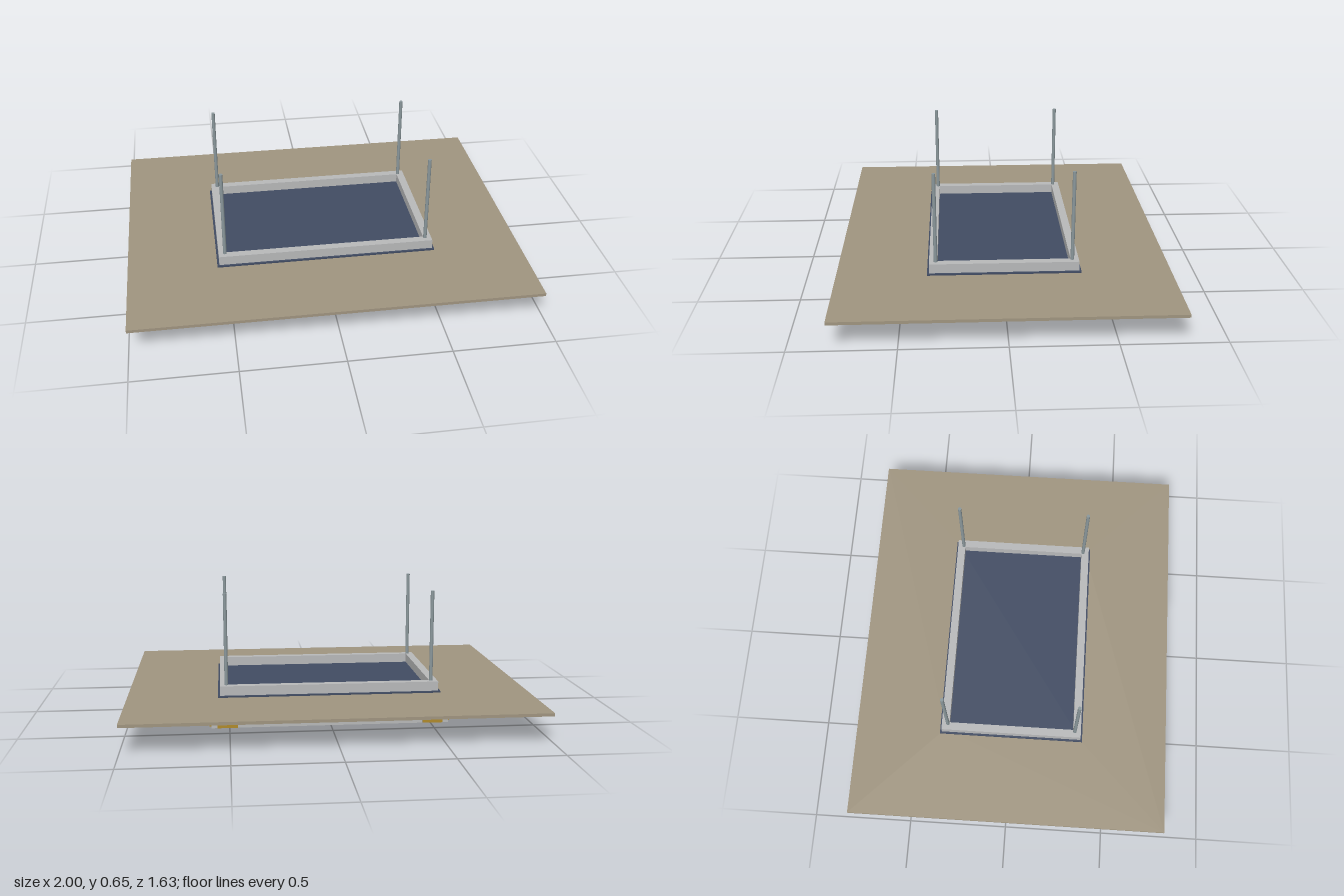
import * as THREE from 'three';

const mat = (color) => new THREE.MeshStandardMaterial({ color });
const SIDES = [-1, 1];

export function createModel() {
  const model = new THREE.Group();
  const board = mat(0xa09580);
  const grey = mat(0xb8b9ba);
  const greyBand = mat(0x9a9da6);
  const gold = mat(0xb08a28);
  const blue = mat(0x414c63);
  const steel = mat(0x8a979b);

  const add = (name, geometry, material, x = 0, y = 0, z = 0) => {
    const mesh = new THREE.Mesh(geometry, material);
    mesh.name = name;
    mesh.position.set(x, y, z);
    model.add(mesh);
  };

  // Box given by half width, bottom, top and half depth
  const slab = (name, hx, y0, y1, hz, material, x = 0, z = 0) =>
    add(name, new THREE.BoxGeometry(hx * 2, y1 - y0, hz * 2), material, x, (y0 + y1) / 2, z);

  // Rectangular ring lying flat, with a rectangular opening
  const ring = (name, hx, hz, ix, iz, y0, y1, material) => {
    const corners = (a, b) => [[-a, -b], [a, -b], [a, b], [-a, b]].map(([u, v]) => new THREE.Vector2(u, v));
    const shape = new THREE.Shape(corners(hx, hz));
    shape.holes.push(new THREE.Path(corners(ix, iz).reverse()));
    const geometry = new THREE.ExtrudeGeometry(shape, { depth: y1 - y0, bevelEnabled: false });
    geometry.rotateX(-Math.PI / 2);
    add(name, geometry, material, 0, y0, 0);
  };

  // Ceiling board with its opening
  ring('ceilingBoard', 1, 0.815, 0.53, 0.35, 0.13, 0.145, board);

  // Lower housing: bottom panel, recessed band and top flange
  slab('bottomPanel', 0.59, 0, 0.065, 0.405, grey);
  slab('recessedBand', 0.575, 0.065, 0.11, 0.39, greyBand);
  ring('topFlange', 0.599, 0.414, 0.5, 0.32, 0.11, 0.13, gold);

  // Upper plate and the raised frame around it
  slab('upperPlate', 0.555, 0.144, 0.153, 0.375, blue);
  ring('upperFrame', 0.545, 0.365, 0.505, 0.325, 0.153, 0.2, grey);

  // Corner brackets (two leaves each) and hanging rods
  for (const sx of SIDES) {
    for (const sz of SIDES) {
      slab('bracketLeafLong', 0.05, 0.002, 0.13, 0.015, gold, sx * 0.51, sz * 0.4);
      slab('bracketLeafShort', 0.015, 0.002, 0.13, 0.05, gold, sx * 0.585, sz * 0.33);
      add('hangingRod', new THREE.CylinderGeometry(0.009, 0.009, 0.47, 16), steel,
        sx * 0.513, 0.42, sz * 0.333);
    }
  }
  return model;
}
